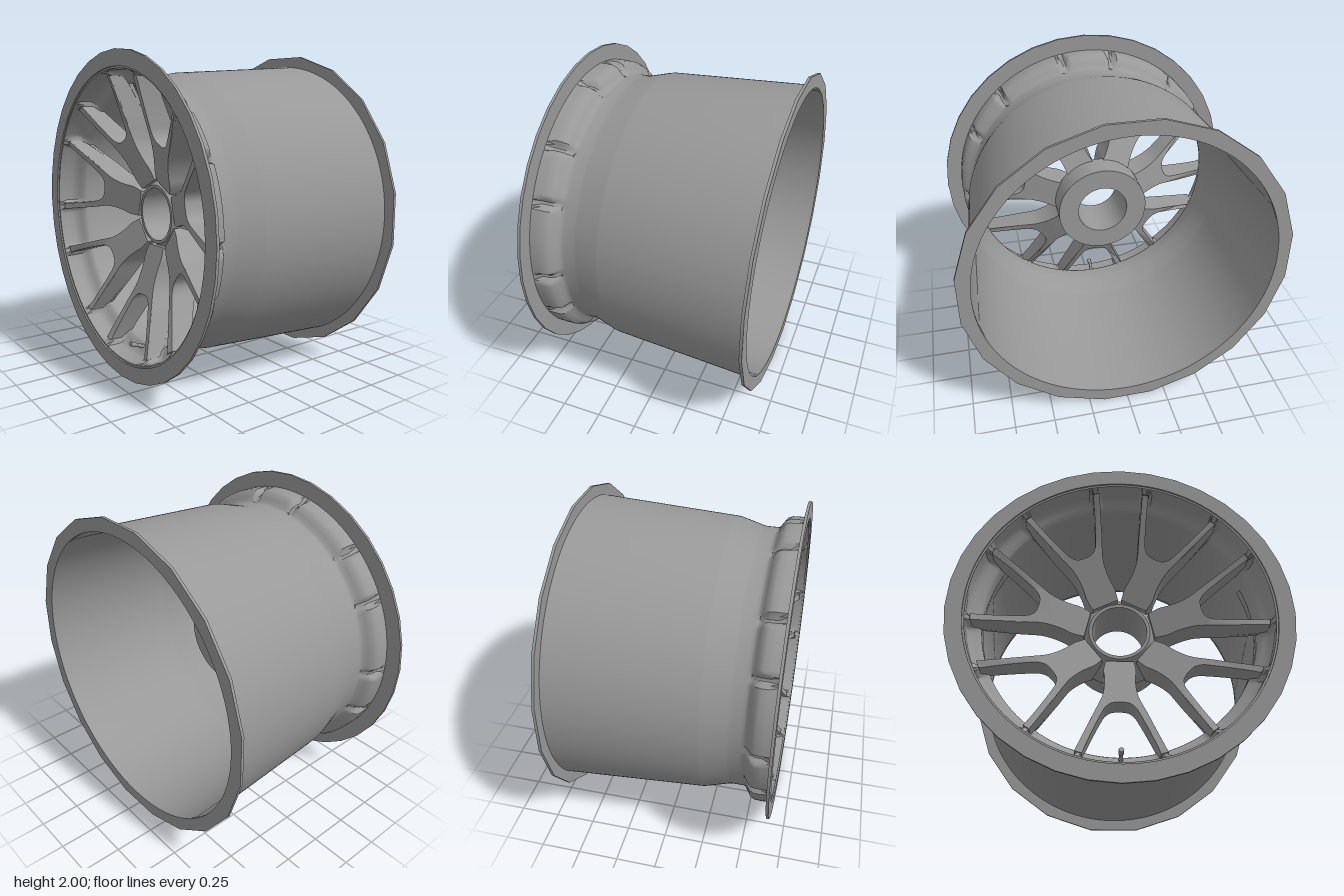
import * as THREE from 'three';
import { toCreasedNormals } from 'three/addons/utils/BufferGeometryUtils.js';

const SPOKES = 7;
const STEP = (Math.PI * 2) / SPOKES;
const TIP = 0.267; // angle of a leg tip from its spoke's centre line
const material = new THREE.MeshStandardMaterial({ color: 0x999999, side: THREE.DoubleSide });
const { lerp, smoothstep, mapLinear } = THREE.MathUtils;

function part(name, geometry, crease = 0.6) {
  const mesh = new THREE.Mesh(toCreasedNormals(geometry, crease), material);
  mesh.name = name;
  return mesh;
}

// Lathe around the x axis from [x, radius] pairs
function latheX(profile, segments) {
  const g = new THREE.LatheGeometry(profile.map(([x, r]) => new THREE.Vector2(r, x)), segments);
  return g.rotateZ(-Math.PI / 2);
}

// Thin barrel wall; the bead near the face is notched at every leg tip
function barrel() {
  const outer = [[-0.655, 0.9], [-0.6, 0.902], [-0.56, 0.9], [-0.535, 0.888], [-0.515, 0.86],
    [-0.498, 0.834], [-0.485, 0.827], [-0.47, 0.826], [-0.41, 0.826], [-0.39, 0.829],
    [-0.25, 0.868], [-0.23, 0.872], [0.655, 0.925]];
  const inner = outer.map(([x, r]) => [x, r - 0.012]).reverse();
  const g = latheX([...outer, ...inner, outer[0]], 336);
  const p = g.attributes.position;
  for (let i = 0; i < p.count; i++) {
    const x = p.getX(i), y = p.getY(i), z = p.getZ(i);
    const a = Math.atan2(y, z) + Math.PI / 2;
    const off = Math.abs(a - Math.round(a / STEP) * STEP);
    const groove = 1 - smoothstep(Math.abs(off - TIP), 0.008, 0.045);
    const zone = smoothstep(x, -0.65, -0.61) * (1 - smoothstep(x, -0.53, -0.48));
    const k = 1 - 0.04 * groove * zone;
    p.setXYZ(i, x, y * k, z * k);
  }
  return part('barrel', g);
}

// Flat ring with a faceted outer edge
function flange(name, x, sides, hole, turn) {
  const shape = new THREE.Shape();
  for (let i = 0; i < sides; i++) {
    const a = turn + (i / sides) * Math.PI * 2;
    shape[i ? 'lineTo' : 'moveTo'](Math.cos(a), Math.sin(a));
  }
  shape.closePath();
  shape.holes.push(new THREE.Path().absarc(0, 0, hole, 0, Math.PI * 2, true));
  const g = new THREE.ExtrudeGeometry(shape, { depth: 0.017, bevelEnabled: false, curveSegments: 48 });
  const mesh = part(name, g.rotateY(Math.PI / 2), 0.4);
  mesh.position.x = x;
  return mesh;
}

// Y-shaped spoke: a neck that forks into two slim legs
function spokeGeometry() {
  const curve = (pts, n) => new THREE.CatmullRomCurve3(pts.map(([t, r]) => new THREE.Vector3(t, r, 0)))
    .getPoints(n).map(v => new THREE.Vector2(v.x, v.y));
  const side = curve([[0.085, 0.2], [0.095, 0.27], [0.09, 0.32], [0.09, 0.38], [0.1, 0.45],
    [0.118, 0.5], [0.148, 0.57], [0.195, 0.69], [0.238, 0.8], [0.262, 0.868]], 24);
  const fork = curve([[0.218, 0.868], [0.197, 0.8], [0.155, 0.69], [0.108, 0.58], [0.085, 0.535],
    [0.05, 0.505], [0, 0.498]], 18);
  const half = [...side, ...fork];
  const mirrored = half.slice(0, -1).reverse().map(v => new THREE.Vector2(-v.x, v.y));
  const g = new THREE.ExtrudeGeometry(new THREE.Shape([...half, ...mirrored]),
    { depth: 1, steps: 6, bevelEnabled: false });
  // Dish the spoke towards the hub and trim the tips to the inside of the bead
  const p = g.attributes.position;
  for (let i = 0; i < p.count; i++) {
    const t = p.getX(i), r = p.getY(i);
    const front = mapLinear(r, 0.2, 0.9, -0.4, -0.645);
    const back = mapLinear(r, 0.2, 0.9, -0.19, -0.53);
    const x = lerp(front, back, p.getZ(i));
    const limit = lerp(0.86, 0.822, smoothstep(x, -0.545, -0.495));
    const k = Math.min(1, limit / Math.hypot(t, r));
    p.setXYZ(i, x, -r * k, t * k);
  }
  return g;
}

export function createModel() {
  const wheel = new THREE.Group();
  wheel.name = 'wheel';
  wheel.position.y = 1;

  wheel.add(barrel());
  wheel.add(flange('outerFlange', -0.665, 36, 0.9, 0));
  wheel.add(flange('innerFlange', 0.648, 20, 0.911, Math.PI / 20));

  // Hub with a through bore and a wide mounting pad at the back
  wheel.add(part('hub', latheX([[-0.4, 0.165], [-0.4, 0.185], [-0.37, 0.205], [-0.3, 0.26],
    [-0.25, 0.295], [-0.08, 0.295], [-0.08, 0.165], [-0.4, 0.165]], 48), 0.5));

  const geometry = spokeGeometry();
  for (let i = 0; i < SPOKES; i++) {
    const spoke = part('spoke', geometry);
    spoke.rotation.x = i * STEP;
    wheel.add(spoke);
  }

  // Air valve at the bottom of the barrel
  const valve = new THREE.Group();
  valve.name = 'valve';
  const stem = part('valveStem', new THREE.CylinderGeometry(0.01, 0.014, 0.09, 12));
  const cap = part('valveCap', new THREE.CylinderGeometry(0.015, 0.015, 0.035, 12));
  cap.position.y = 0.055;
  valve.add(stem, cap);
  valve.position.set(-0.53, -0.83, 0);
  valve.rotation.z = 1.2;
  wheel.add(valve);

  const model = new THREE.Group();
  model.name = 'wheelRim';
  model.add(wheel);
  return model;
}
